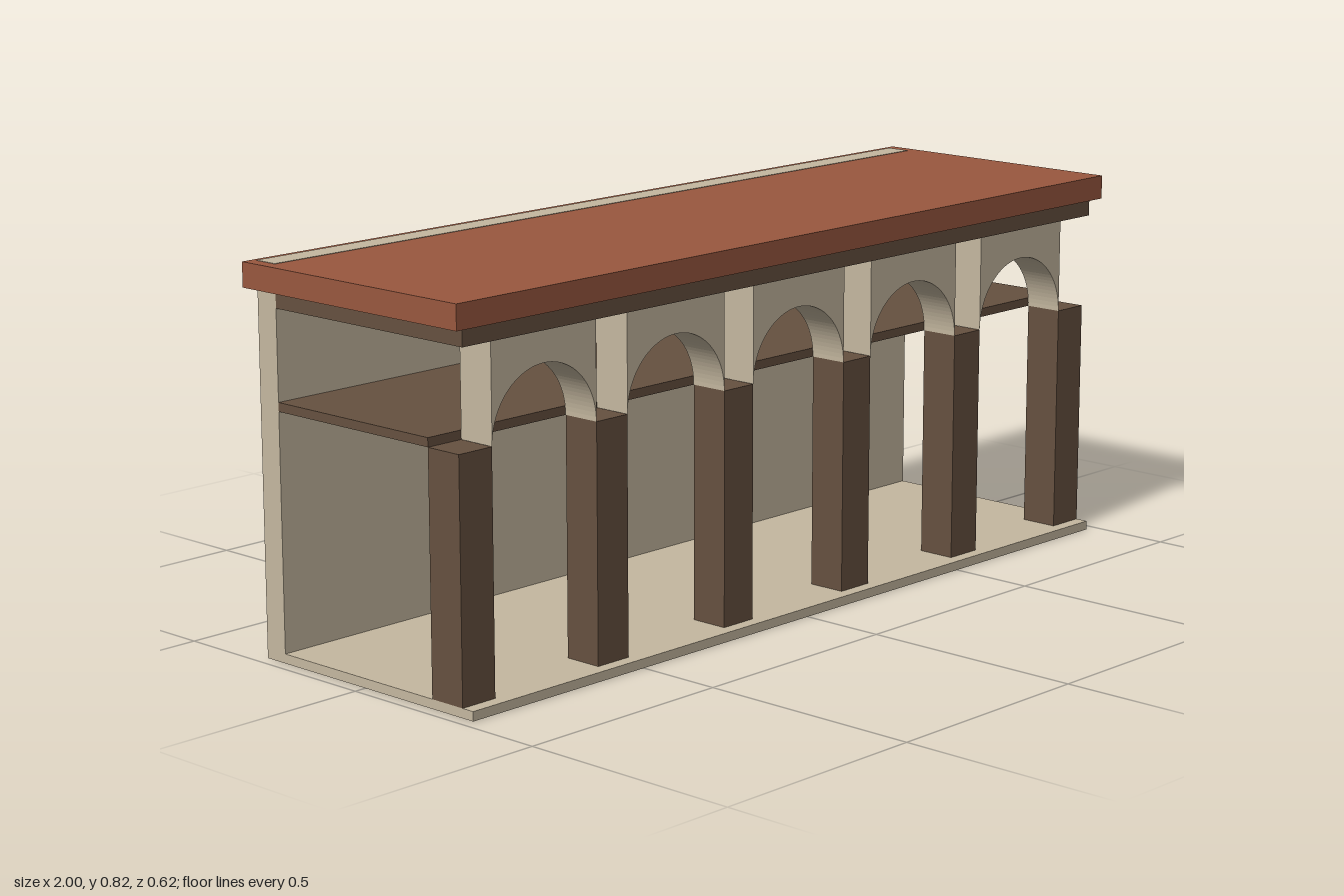
import * as THREE from 'three';

export function createModel() {
  const model = new THREE.Group();
  const mat = (name, color) => {
    const m = new THREE.MeshStandardMaterial({ color });
    m.name = name;
    return m;
  };
  const plaster = mat('beige plaster', 0xc5b8a0);
  const timber = mat('dark timber', 0x665140);
  const tile = mat('red roof', 0x99583f);

  const add = (name, geometry, material) => {
    const mesh = new THREE.Mesh(geometry, material);
    mesh.name = name;
    model.add(mesh);
    return mesh;
  };
  // Box given by its minimum and maximum on each axis
  const box = (name, material, x0, x1, y0, y1, z0, z1) =>
    add(name, new THREE.BoxGeometry(x1 - x0, y1 - y0, z1 - z0), material)
      .position.set((x0 + x1) / 2, (y0 + y1) / 2, (z0 + z1) / 2);

  const half = 0.973;
  const floorTop = 0.02, springY = 0.524, beamY = 0.734, roofY = 0.771, roofTop = 0.8235;
  const wallBack = -0.297, wallFront = -0.242;
  const colBack = 0.195, colFront = 0.281;

  // Slabs, wall and roof; the wall top shows through the roof as a strip
  box('floor', plaster, -half, half, 0, floorTop, wallFront, 0.31);
  box('backWall', plaster, -half, half, 0, roofTop + 0.001, wallBack, wallFront);
  box('upperFloor', timber, -half, half, springY, 0.543, wallFront, colBack);
  box('ceilingBeam', timber, -half, half, beamY, roofY, wallFront, 0.295);
  box('roof', tile, -1, 1, roofY, roofTop, -0.31, 0.309);

  // Six columns, with an arched panel over each of the five bays
  const columnWidth = 0.087;
  const pitch = (2 * half - columnWidth) / 5;
  const bay = pitch - columnWidth;
  const r = bay / 2;

  const arch = new THREE.Shape();
  arch.moveTo(-r, springY);
  arch.absarc(0, springY, r - 0.0005, Math.PI, 0, true);
  arch.lineTo(r, springY);
  arch.lineTo(r, beamY);
  arch.lineTo(-r, beamY);
  arch.closePath();
  const archGeometry = new THREE.ExtrudeGeometry(arch, {
    depth: colFront - colBack, bevelEnabled: false, curveSegments: 24,
  });

  for (let i = 0; i < 6; i++) {
    const x = -half + i * pitch;
    box('column', timber, x, x + columnWidth, floorTop, springY, colBack, colFront);
    if (i < 5) add('archPanel', archGeometry, plaster).position.set(x + columnWidth + r, 0, colBack);
  }
  return model;
}
